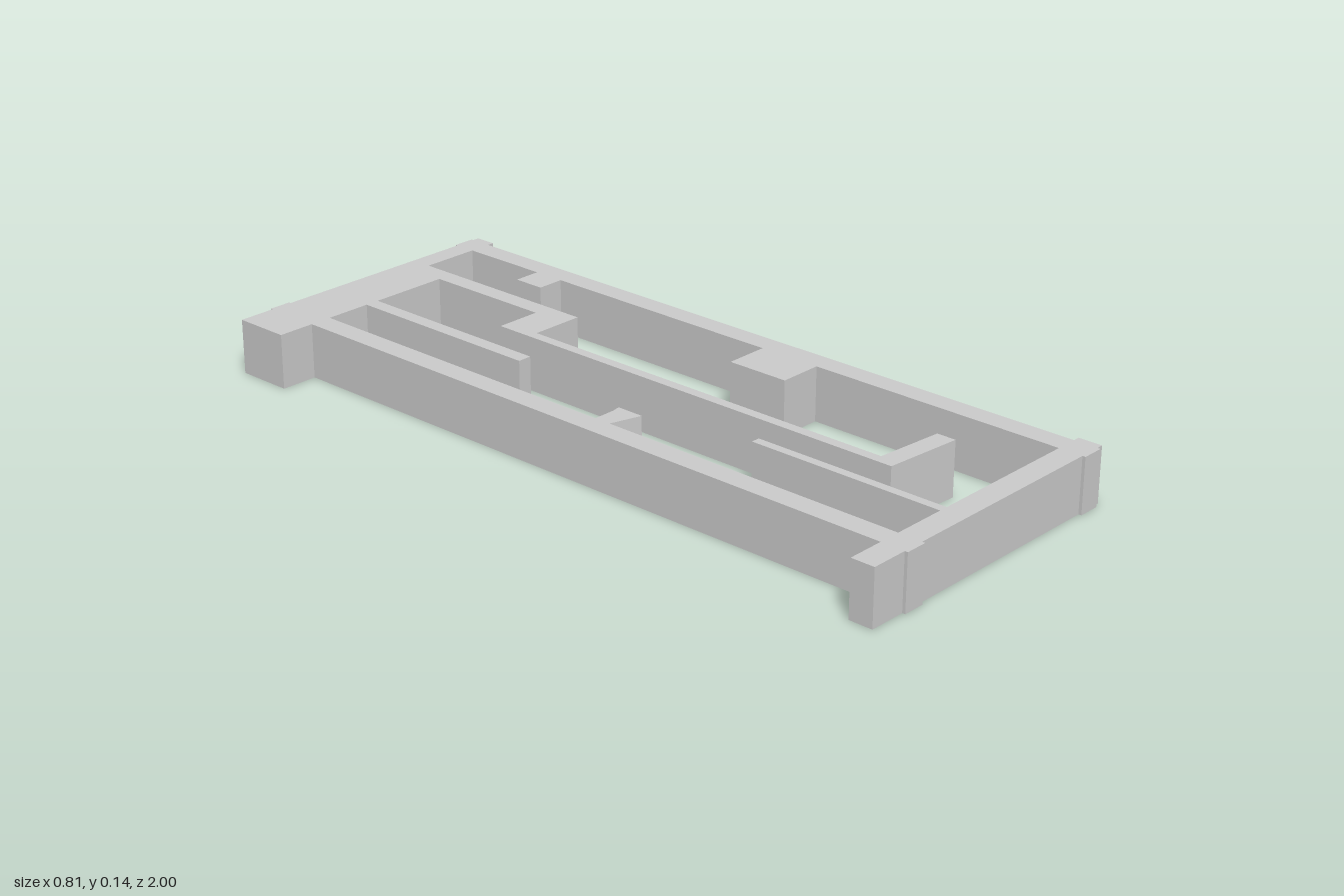
import * as THREE from 'three';

const H = 0.142;
const material = new THREE.MeshStandardMaterial({ color: 0xcccccc, flatShading: true });

// Wall of full height from a plan outline of [x, z] corners
function wall(name, corners) {
  const shape = new THREE.Shape(corners.map(([x, z]) => new THREE.Vector2(x, z)));
  const geometry = new THREE.ExtrudeGeometry(shape, { depth: H, bevelEnabled: false });
  geometry.rotateX(Math.PI / 2).translate(0, H, 0);
  const mesh = new THREE.Mesh(geometry, material);
  mesh.name = name;
  return mesh;
}

const block = (name, x0, x1, z0, z1) =>
  wall(name, [[x0, z0], [x1, z0], [x1, z1], [x0, z1]]);

export function createModel() {
  const group = new THREE.Group();
  group.name = 'wallFrame';
  group.add(
    // Long side walls
    block('rightSideWall', -0.307, -0.249, -1, 1),
    block('leftSideWall', 0.327, 0.385, -1, 1),

    // End walls; the back one is thicker on the right and runs into the inner stem
    block('frontEndWall', -0.405, 0.403, 0.93, 0.992),
    wall('backEndWall', [
      [-0.405, -0.994], [0.403, -0.994], [0.403, -0.937], [0.17, -0.937],
      [0.17, -0.845], [-0.405, -0.845],
    ]),

    // Winding inner wall: stem, step, thin run and slanted hook
    wall('innerWall', [
      [0.122, -0.845], [0.17, -0.845], [0.17, -0.397], [0.027, -0.397],
      [0.027, 0.669], [0.208, 0.685], [0.208, 0.736], [0, 0.718],
      [0, -0.495], [0.122, -0.495],
    ]),

    // Free-ended partitions
    block('backPartition', -0.127, -0.09, -0.845, -0.302),
    block('frontPartition', -0.106, -0.083, 0.41, 0.93),

    // Projections from the side walls
    block('smallProjection', 0.254, 0.327, -0.695, -0.61),
    block('largeProjection', 0.21, 0.327, 0.071, 0.239),
    wall('flaredProjection', [
      [-0.249, 0.066], [-0.19, 0.066], [-0.168, 0.062], [-0.168, 0.134], [-0.249, 0.11],
    ]),
  );
  return group;
}
